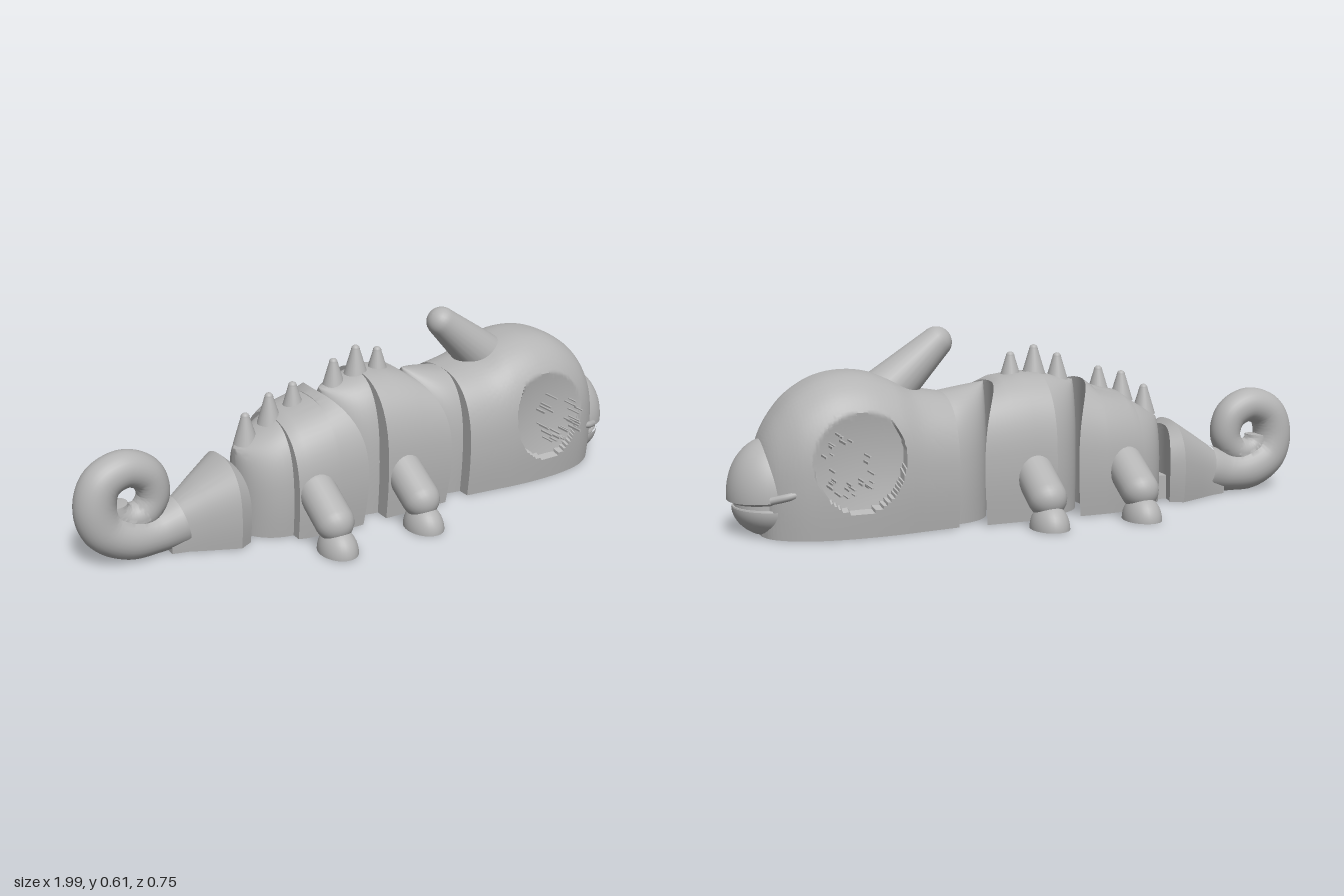
import * as THREE from 'three';
import { toCreasedNormals } from 'three/addons/utils/BufferGeometryUtils.js';

const grey = new THREE.MeshStandardMaterial({ color: 0xb4b4b4 });
grey.name = 'plain grey';

function add(parent, name, geometry, x = 0, y = 0, z = 0) {
  const mesh = new THREE.Mesh(geometry, grey);
  mesh.name = name;
  mesh.position.set(x, y, z);
  parent.add(mesh);
  return mesh;
}

function finish(pos, index, crease = 0.6) {
  const g = new THREE.BufferGeometry();
  g.setAttribute('position', new THREE.Float32BufferAttribute(pos, 3));
  g.setIndex(index);
  return toCreasedNormals(g, crease);
}

// Flat-bottomed arch at height fraction, from +z foot over the top to -z foot
function archPoint(t, w, h) {
  const side = t < 0.5 ? 1 : -1;
  const u = t < 0.5 ? t * 2 : 2 - t * 2;
  const mid = 0.4 * h;
  if (u < 0.3) return [side * w * (0.93 + 0.07 * Math.sin((u / 0.3) * Math.PI / 2)), mid * u / 0.3];
  const a = ((u - 0.3) / 0.7) * Math.PI / 2;
  return [side * w * Math.pow(Math.max(0, Math.cos(a)), 0.8), mid + (h - mid) * Math.pow(Math.sin(a), 0.8)];
}

// Skin arches along x. Station: [x, half width, height, depth of hollow front]
function loft(stations, n = 40, rule = (x, y, z) => z) {
  const cols = 12, ring = n + cols, pos = [], index = [];
  const put = (s, y, z) => {
    const [x, w, , d = 0] = s;
    const px = x - d * (1 - Math.min(1, (z / w) ** 2));
    pos.push(px, y, rule(px, y, z));
    return pos.length / 3 - 1;
  };
  for (const s of stations) {
    for (let i = 0; i <= n; i++) {
      const [z, y] = archPoint(i / n, s[1], s[2]);
      put(s, y, z);
    }
    for (let j = 1; j < cols; j++) put(s, 0, s[1] * 0.93 * (-1 + 2 * j / cols));
  }
  for (let s = 0; s < stations.length - 1; s++) {
    for (let i = 0; i < ring; i++) {
      const a = s * ring + i, b = s * ring + (i + 1) % ring, c = a + ring, d = b + ring;
      index.push(a, c, b, b, c, d);
    }
  }
  // End faces
  for (const [s, front] of [[stations[0], false], [stations[stations.length - 1], true]]) {
    const start = pos.length / 3, rows = n / 2;
    for (let i = 0; i <= rows; i++) {
      const [z, y] = archPoint(i / n, s[1], s[2]);
      for (let j = 0; j <= cols; j++) put(s, y, z * (1 - 2 * j / cols));
    }
    for (let i = 0; i < rows; i++) for (let j = 0; j < cols; j++) {
      const a = start + i * (cols + 1) + j, b = a + 1, c = a + cols + 1, d = c + 1;
      if (front) index.push(a, b, d, a, d, c);
      else index.push(a, d, b, a, c, d);
    }
  }
  return finish(pos, index);
}

// Upright round joint at the rear of a segment
function joint(cx, r, h0, h1) {
  const st = [];
  for (let k = 0; k <= 12; k++) {
    const a = (k / 12) * Math.PI / 2;
    st.push([cx - r * Math.cos(a), Math.max(0.008, r * Math.sin(a)), h0 + (h1 - h0) * (1 - Math.cos(a))]);
  }
  st.push([cx + 0.03, r, h1]);
  return loft(st);
}

// Tapering round tube through points [x, y, radius], flattened on the ground
function taperedTube(points) {
  const curve = new THREE.CatmullRomCurve3(points.map(p => new THREE.Vector3(...p)));
  const N = 110, M = 28, pos = [], index = [];
  for (let s = 0; s <= N; s++) {
    const p = curve.getPoint(s / N), t = curve.getTangent(s / N);
    const l = Math.hypot(t.x, t.y);
    const r = s === N ? 0.001 : p.z;
    for (let i = 0; i < M; i++) {
      const a = (i / M) * Math.PI * 2, k = r * Math.cos(a);
      pos.push(p.x - (t.y / l) * k, Math.max(0, p.y + (t.x / l) * k), r * Math.sin(a));
      const b = s * M + (i + 1) % M, q = s * M + i;
      if (s < N) index.push(q, b, q + M, b, b + M, q + M);
    }
  }
  return finish(pos, index, 1);
}

// Cone with a rounded tip, base at the origin
function roundedCone(r0, r1, height) {
  const pts = [new THREE.Vector2(r0, 0)];
  for (let k = 0; k <= 8; k++) {
    const a = (k / 8) * Math.PI / 2;
    pts.push(new THREE.Vector2(Math.max(0, r1 * Math.cos(a)), height - r1 + r1 * Math.sin(a)));
  }
  return new THREE.LatheGeometry(pts, 24);
}

export function createModel() {
  const model = new THREE.Group();
  model.name = 'jointedLizard';

  // Body segments with hollow front ends
  add(model, 'rearJoint', joint(-0.32, 0.145, 0.28, 0.365));
  add(model, 'rearBody', loft([[-0.33, 0.18, 0.36], [-0.3, 0.19, 0.38], [-0.2, 0.2, 0.405], [-0.19, 0.2, 0.407, 0.01], [-0.09, 0.2, 0.425, 0.09]]));
  add(model, 'middleJoint', joint(-0.01, 0.145, 0.42, 0.455));
  add(model, 'middleBody', loft([[-0.015, 0.2, 0.455], [0.06, 0.2, 0.453], [0.13, 0.2, 0.445, 0.01], [0.23, 0.2, 0.43, 0.09]]));
  add(model, 'neckJoint', joint(0.31, 0.15, 0.43, 0.405));

  // Head with a shallow dish for each eye
  const headCurve = new THREE.CatmullRomCurve3([
    [0.31, 0.195, 0.405], [0.42, 0.208, 0.427], [0.5, 0.218, 0.465], [0.6, 0.222, 0.486], [0.7, 0.215, 0.474],
    [0.79, 0.192, 0.425], [0.85, 0.155, 0.36], [0.885, 0.115, 0.3], [0.9, 0.07, 0.25],
  ].map(p => new THREE.Vector3(...p)));
  const dish = (x, y, z) => {
    const q = ((x - 0.63) / 0.14) ** 2 + ((y - 0.24) / 0.16) ** 2;
    return q < 1 && Math.abs(z) > 0.1 ? Math.sign(z) * Math.min(Math.abs(z), 0.178 + 0.016 * q) : z;
  };
  add(model, 'head', loft(headCurve.getPoints(130).map(p => [p.x, p.y, p.z]), 120, dish));

  // Horn
  const horn = add(model, 'horn', roundedCone(0.085, 0.05, 0.3), 0.505, 0.395, 0);
  horn.rotation.z = 0.85;

  // Snout: upper beak, recessed mouth and lower jaw
  const upper = new THREE.SphereGeometry(1, 40, 16, 0, Math.PI * 2, 0, Math.PI / 2).scale(0.14, 0.18, 0.142);
  add(model, 'upperSnout', upper, 0.85, 0.115, 0).rotation.z = -0.06;
  const lip = new THREE.CylinderGeometry(0.138, 0.125, 0.012, 40);
  add(model, 'upperLip', lip, 0.85, 0.112, 0).rotation.z = -0.06;
  add(model, 'mouth', new THREE.CylinderGeometry(0.118, 0.118, 0.07, 40), 0.85, 0.1, 0);
  const jaw = new THREE.SphereGeometry(1, 40, 16, 0, Math.PI * 2, Math.PI / 2, Math.PI / 2).scale(0.13, 0.098, 0.14);
  const jp = jaw.attributes.position;
  for (let i = 0; i < jp.count; i++) jp.setY(i, Math.max(jp.getY(i), -0.085));
  add(model, 'lowerJaw', jaw, 0.845, 0.085, 0);
  add(model, 'jawTop', new THREE.CylinderGeometry(0.128, 0.13, 0.006, 40), 0.845, 0.085, 0);

  // Eye bristles and mouth corners
  let seed = 7;
  const rand = () => (seed = (seed * 16807) % 2147483647) / 2147483647;
  for (const side of [1, -1]) {
    const bristles = new THREE.Group();
    bristles.name = side > 0 ? 'leftEyeBristles' : 'rightEyeBristles';
    model.add(bristles);
    for (let k = 0; k < 28; k++) {
      const a = rand() * Math.PI * 2, r = 0.6 + 0.4 * rand(), len = 0.045 + 0.035 * rand();
      const b = new THREE.BoxGeometry(0.006, 0.003 + 0.004 * rand(), len);
      add(bristles, 'bristle', b, 0.665 + 0.09 * r * Math.cos(a), 0.23 + 0.1 * r * Math.sin(a), side * (0.175 + len / 2));
    }
    const corner = new THREE.CatmullRomCurve3([
      new THREE.Vector3(0.8, 0.146, side * 0.168), new THREE.Vector3(0.84, 0.135, side * 0.162), new THREE.Vector3(0.885, 0.122, side * 0.135)]);
    add(model, 'mouthCorner', new THREE.TubeGeometry(corner, 12, 0.012, 10));
    add(model, 'mouthCornerTip', new THREE.SphereGeometry(0.012, 12, 8), 0.8, 0.146, side * 0.168);
  }

  // Legs with domed feet
  for (const x of [-0.265, 0.055]) for (const side of [1, -1]) {
    const leg = new THREE.Group();
    leg.name = side > 0 ? 'leftLeg' : 'rightLeg';
    leg.position.x = x;
    if (side < 0) leg.rotation.y = Math.PI;
    model.add(leg);
    const thigh = add(leg, 'thigh', new THREE.CapsuleGeometry(0.062, 0.13, 8, 24), 0, 0.125, 0.222);
    thigh.rotation.x = Math.PI / 2 + 0.55;
    const foot = new THREE.SphereGeometry(1, 28, 10, 0, Math.PI * 2, 0, Math.PI / 2).scale(0.06, 0.078, 0.079);
    add(leg, 'foot', foot, 0, 0, 0.297);
    const sole = add(leg, 'sole', new THREE.CircleGeometry(1, 28), 0, 0, 0.297);
    sole.scale.set(0.06, 0.079, 1);
    sole.rotation.x = Math.PI / 2;
  }

  // Back spikes: [x, tip height]
  for (const [x, tip] of [[-0.42, 0.39], [-0.335, 0.44], [-0.25, 0.46], [-0.1, 0.51], [-0.017, 0.54], [0.065, 0.52]]) {
    add(model, 'backSpike', roundedCone(0.04, 0.014, 0.1), x, tip - 0.1, 0);
  }

  // Tail base and curl
  add(model, 'tailBase', loft([[-0.71, 0.055, 0.13], [-0.66, 0.068, 0.17], [-0.6, 0.098, 0.21], [-0.51, 0.14, 0.268], [-0.465, 0.115, 0.25, 0.025]]));
  add(model, 'tailLink', new THREE.BoxGeometry(0.08, 0.08, 0.1), -0.455, 0.04, 0);
  const spiral = [[-0.66, 0.085, 0.08], [-0.74, 0.068, 0.07]];
  const radii = [0.12, 0.108, 0.1, 0.105, 0.103, 0.098, 0.088, 0.075, 0.058, 0.045, 0.036];
  radii.forEach((r, k) => {
    const a = -Math.PI / 2 - k * Math.PI / 4;
    spiral.push([-0.83 + r * Math.cos(a), 0.193 + r * Math.sin(a), 0.073 - 0.0035 * k]);
  });
  add(model, 'tailCurl', taperedTube(spiral));

  // Joint rings on the underside
  for (const x of [-0.29, 0.02, 0.33]) for (const r of [0.1, 0.055]) {
    const ring = add(model, 'jointRing', new THREE.TorusGeometry(r, 0.006, 6, 36), x, 0.003, 0);
    ring.rotation.x = Math.PI / 2;
  }
  return model;
}
